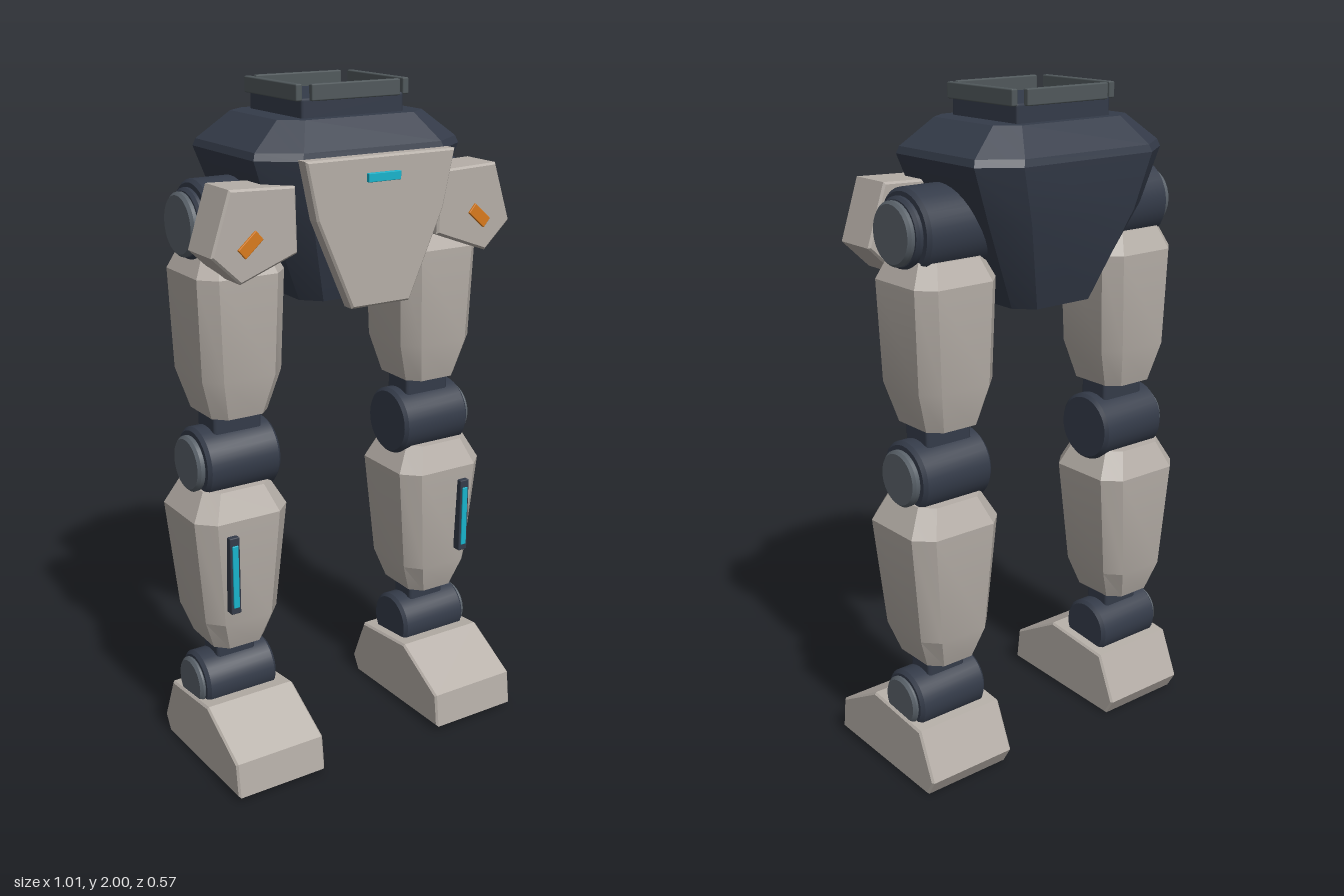
import * as THREE from 'three';
import { toCreasedNormals } from 'three/addons/utils/BufferGeometryUtils.js';
import { RoundedBoxGeometry } from 'three/addons/geometries/RoundedBoxGeometry.js';

const material = (name, color) => {
  const m = new THREE.MeshStandardMaterial({ color });
  m.name = name;
  return m;
};

// Loft of chamfered rectangles; each section is [y, cx, cz, halfX, halfZ, chamferX, chamferZ]
function loft(sections) {
  const rings = sections.map(([y, cx, cz, w, d, a, b]) => [
    [w, -d + b], [w, d - b], [w - a, d], [-w + a, d],
    [-w, d - b], [-w, -d + b], [-w + a, -d], [w - a, -d],
  ].map(([x, z]) => [cx + x, y, cz + z]));
  const pos = [];
  const tri = (...pts) => pts.forEach((p) => pos.push(...p));
  for (let i = 0; i < rings.length - 1; i++) {
    for (let j = 0; j < 8; j++) {
      const k = (j + 1) % 8;
      const a = rings[i][j], b = rings[i][k], c = rings[i + 1][k], d = rings[i + 1][j];
      tri(a, d, c);
      tri(a, c, b);
    }
  }
  const low = rings[0], high = rings[rings.length - 1];
  for (let j = 1; j < 7; j++) {
    tri(low[0], low[j], low[j + 1]);
    tri(high[0], high[j + 1], high[j]);
  }
  const g = new THREE.BufferGeometry();
  g.setAttribute('position', new THREE.Float32BufferAttribute(pos, 3));
  return toCreasedNormals(g, 0.3);
}

// Bevelled drum lying along x, from x0 to x1
function drum(r, x0, x1, bevel) {
  const h = Math.abs(x1 - x0) / 2;
  const profile = [[0, -h], [r - bevel, -h], [r, -h + bevel], [r, h - bevel], [r - bevel, h], [0, h]];
  const g = new THREE.LatheGeometry(profile.map((p) => new THREE.Vector2(...p)), 32);
  return toCreasedNormals(g, 0.5).rotateZ(Math.PI / 2).translate((x0 + x1) / 2, 0, 0);
}

// Outline extruded from z0 to z1 with a fine bevel kept inside the outline
function slab(points, z0, z1, bevel = 0.006) {
  const shape = new THREE.Shape(points.map((p) => new THREE.Vector2(...p)));
  return new THREE.ExtrudeGeometry(shape, {
    depth: z1 - z0 - 2 * bevel, bevelThickness: bevel, bevelSize: bevel,
    bevelOffset: -bevel, bevelSegments: 1,
  }).translate(0, 0, z0 + bevel);
}

export function createModel() {
  const shell = material('warm grey shell', 0xb5aea7);
  const dark = material('dark blue frame', 0x343b49);
  const steel = material('joint cap grey', 0x596169);
  const rail = material('rail grey', 0x50585b);
  const cyan = material('cyan light', 0x18b4cc);
  const orange = material('orange marker', 0xd87a1c);

  const model = new THREE.Group();
  model.name = 'bipedLegs';
  const add = (parent, name, geometry, mat, x = 0, y = 0, z = 0) => {
    const mesh = new THREE.Mesh(geometry, mat);
    mesh.name = name;
    mesh.position.set(x, y, z);
    parent.add(mesh);
    return mesh;
  };
  const box = (w, h, d, r = 0.004) => new RoundedBoxGeometry(w, h, d, 1, r);

  // Pelvis hull
  add(model, 'pelvis', loft([
    [1.40, 0, -0.04, 0.145, 0.14, 0.05, 0.05],
    [1.66, 0, -0.037, 0.275, 0.228, 0.09, 0.07],
    [1.815, 0, -0.036, 0.333, 0.25, 0.105, 0.075],
    [1.835, 0, -0.036, 0.326, 0.244, 0.105, 0.075],
    [1.91, 0, -0.036, 0.235, 0.175, 0.06, 0.045],
  ]), dark);

  // Mounting collar and its four rails
  add(model, 'collar', box(0.33, 0.06, 0.285, 0.008), dark, 0, 1.932, -0.037);
  for (const s of [-1, 1]) {
    add(model, 'sideRail', box(0.02, 0.045, 0.285), rail, s * 0.172, 1.9775, -0.037);
    add(model, 'endRail', box(0.285, 0.045, 0.018), rail, 0, 1.9775, -0.037 + s * 0.15);
  }

  // Front plate with its light
  add(model, 'frontPlate', slab([
    [-0.24, 1.82], [-0.205, 1.66], [-0.095, 1.41], [0.095, 1.41], [0.205, 1.66], [0.24, 1.82],
  ], 0.203, 0.25), shell);
  add(model, 'frontLight', box(0.104, 0.024, 0.016, 0.002), cyan, 0, 1.764, 0.253);

  for (const s of [-1, 1]) {
    const leg = new THREE.Group();
    leg.name = s > 0 ? 'leftLeg' : 'rightLeg';
    model.add(leg);

    // Hip joint
    add(leg, 'hipJoint', drum(0.12, s * 0.15, s * 0.435, 0.01), dark, 0, 1.635, -0.032);
    add(leg, 'hipRim', drum(0.098, s * 0.43, s * 0.455, 0.008), dark, 0, 1.635, -0.032);
    add(leg, 'hipCap', drum(0.088, s * 0.45, s * 0.476, 0.008), steel, 0, 1.635, -0.032);

    // Hip guard with slanted marker
    add(leg, 'hipGuard', slab([
      [0.235, 1.75], [0.433, 1.757], [0.49, 1.585], [0.405, 1.505], [0.23, 1.57],
    ].map(([x, y]) => [s * x, y]), 0.05, 0.19), shell);
    const marker = add(leg, 'hipMarker', box(0.072, 0.034, 0.009, 0.002), orange, s * 0.376, 1.61, 0.192);
    marker.rotation.z = -s * 0.72;

    // Thigh
    add(leg, 'thigh', loft([
      [1.09, s * 0.333, -0.034, 0.09, 0.1, 0.035, 0.035],
      [1.21, s * 0.333, -0.034, 0.126, 0.13, 0.045, 0.045],
      [1.50, s * 0.333, -0.034, 0.136, 0.136, 0.045, 0.045],
      [1.565, s * 0.333, -0.034, 0.105, 0.105, 0.035, 0.035],
    ]), shell);

    // Knee
    add(leg, 'kneeNeck', box(0.155, 0.12, 0.105, 0.01), dark, s * 0.333, 1.06, -0.032);
    add(leg, 'kneeJoint', drum(0.105, s * 0.22, s * 0.456, 0.01), dark, 0, 0.945, -0.032);
    add(leg, 'kneeCap', drum(0.082, s * 0.45, s * 0.478, 0.008), steel, 0, 0.945, -0.032);

    // Shin with light strip
    add(leg, 'shin', loft([
      [0.375, s * 0.354, -0.034, 0.085, 0.1, 0.035, 0.035],
      [0.47, s * 0.354, -0.034, 0.119, 0.13, 0.042, 0.045],
      [0.80, s * 0.354, -0.034, 0.151, 0.146, 0.05, 0.048],
      [0.88, s * 0.354, -0.034, 0.108, 0.11, 0.038, 0.038],
    ]), shell);
    add(leg, 'lightFrame', box(0.032, 0.24, 0.03, 0.003), dark, s * 0.41, 0.638, 0.112);
    add(leg, 'lightStrip', box(0.019, 0.195, 0.008, 0.002), cyan, s * 0.41, 0.636, 0.127);

    // Ankle
    add(leg, 'ankleNeck', box(0.13, 0.1, 0.09, 0.01), dark, s * 0.354, 0.34, -0.032);
    add(leg, 'ankleJoint', drum(0.09, s * 0.24, s * 0.475, 0.01), dark, 0, 0.245, -0.03);
    add(leg, 'ankleCap', drum(0.074, s * 0.47, s * 0.492, 0.008), steel, 0, 0.245, -0.03);

    // Foot: side outline extruded across its width
    const foot = slab([
      [-0.285, 0.015], [0.17, 0], [0.2, 0.05], [0.138, 0.195], [-0.095, 0.22], [-0.272, 0.12],
    ], -0.146, 0.146).rotateY(Math.PI / 2);
    add(leg, 'foot', foot, shell, s * 0.354, 0, 0);
  }
  return model;
}
